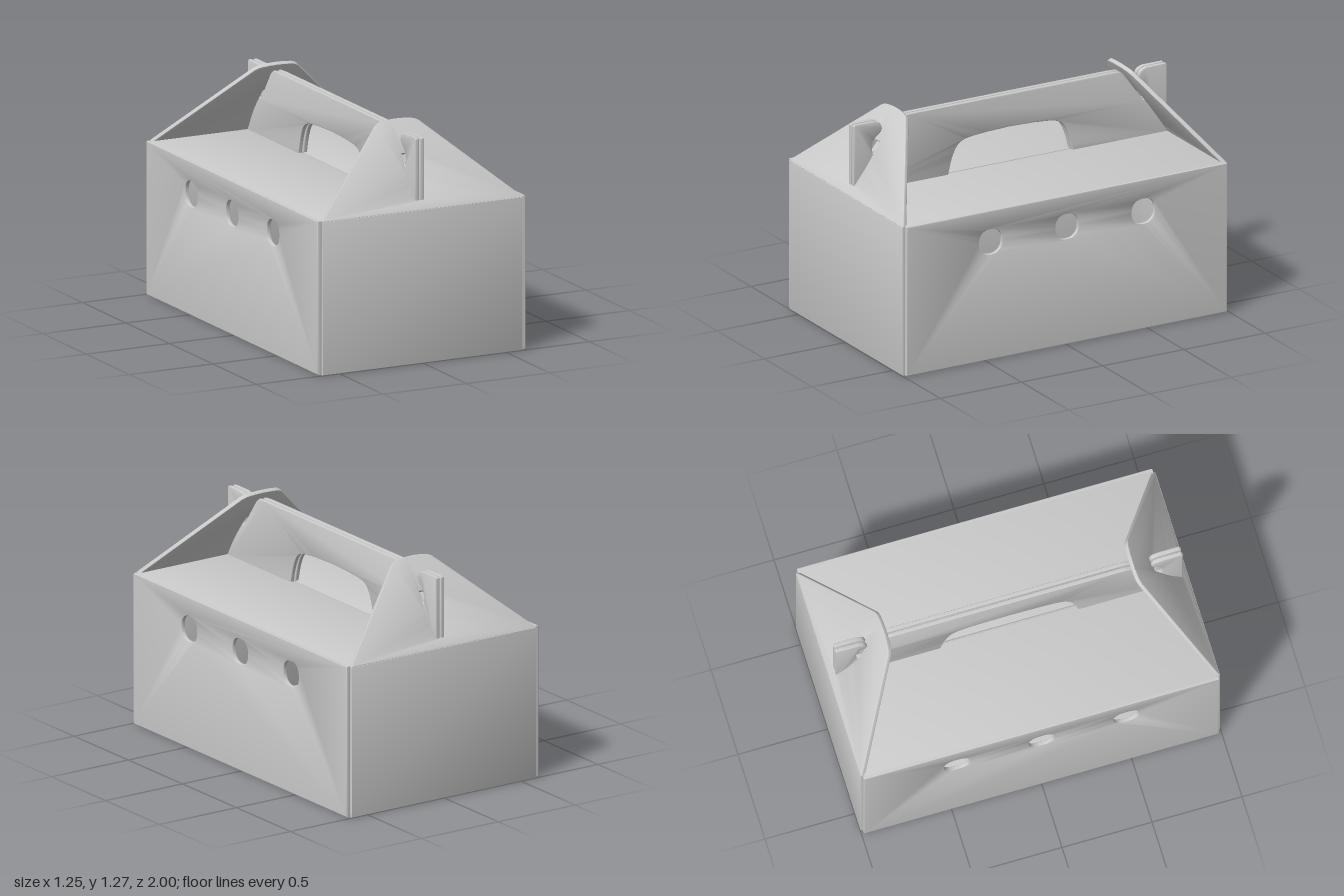
import * as THREE from 'three';
import { toCreasedNormals } from 'three/addons/utils/BufferGeometryUtils.js';

const T = 0.025;      // card thickness
const BEVEL = 0.007;  // softened card edges
const TOP = 0.846;    // height of the box lid

const material = new THREE.MeshStandardMaterial({ color: 0xcccccc, side: THREE.DoubleSide });
const vecs = (list) => list.map(([x, y]) => new THREE.Vector2(x, y));

// Card sheet cut from a shape, its thickness centred on local z = 0
function sheet(shape) {
  const g = new THREE.ExtrudeGeometry(shape, {
    depth: T - 2 * BEVEL, bevelThickness: BEVEL, bevelSize: BEVEL,
    bevelOffset: -BEVEL, bevelSegments: 2, curveSegments: 8,
  });
  g.translate(0, 0, BEVEL - T / 2);
  return toCreasedNormals(g, 0.6);
}

function rect(x0, y0, x1, y1) {
  return new THREE.Shape(vecs([[x0, y0], [x1, y0], [x1, y1], [x0, y1]]));
}

// Slightly squared round air hole
function airHole(cx, cy, r) {
  const pts = [];
  for (let i = 0; i < 32; i++) {
    const a = (i / 32) * Math.PI * 2, c = Math.cos(a), s = Math.sin(a);
    const k = r / Math.pow(Math.abs(c) ** 2.4 + Math.abs(s) ** 2.4, 1 / 2.4);
    pts.push(new THREE.Vector2(cx + c * k, cy + s * k));
  }
  return new THREE.Path(pts);
}

// Smooth points through a few control points
const smooth = (list, n) => new THREE.SplineCurve(vecs(list)).getPoints(n).map((p) => [p.x, p.y]);

// Upright grip with hand opening and a locking hook at each end
function handleShape() {
  const half = [
    ...smooth([[0.15, 1.042], [0.27, 1.03], [0.325, 1.0], [0.36, 0.93], [0.385, TOP - 0.015]], 16),
    [0.965, TOP - 0.015], [0.965, 1.222], [0.957, 1.23],
    ...smooth([[0.84, 1.23], [0.805, 1.217], [0.79, 1.187], [0.802, 1.16], [0.832, 1.135], [0.85, 1.1], [0.848, 1.05]], 22),
    [0.816, 1.05], [0.698, 1.215], [0.675, 1.232], [0.62, 1.235],
  ];
  const mirrored = half.slice().reverse().map(([z, y]) => [-z, y]);
  return new THREE.Shape(vecs([[0, 1.047], ...half, ...mirrored]));
}

// Sloping end flap with the slot for the hook
function flapShape() {
  const s = new THREE.Shape();
  s.moveTo(-0.6, -0.01);
  s.lineTo(0.6, -0.01);
  s.lineTo(0.595, 0.005);
  s.lineTo(0.135, 0.494);
  s.quadraticCurveTo(0.115, 0.513, 0.085, 0.517);
  s.quadraticCurveTo(0, 0.53, -0.085, 0.517);
  s.quadraticCurveTo(-0.115, 0.513, -0.135, 0.494);
  s.lineTo(-0.595, 0.005);
  s.closePath();
  const slot = smooth([[0.026, 0.05], [0.033, 0.14], [0.033, 0.22], [0.026, 0.32]], 10);
  s.holes.push(new THREE.Path(vecs([...slot, ...slot.slice().reverse().map(([x, y]) => [-x, y])])));
  return s;
}

export function createModel() {
  const model = new THREE.Group();
  const add = (name, geometry) => {
    const mesh = new THREE.Mesh(geometry, material);
    mesh.name = name;
    model.add(mesh);
  };

  // Floor
  add('bottomPanel', sheet(rect(-0.602, -0.985, 0.602, 0.985)).rotateX(Math.PI / 2).translate(0, T / 2, 0));

  // Long sides, lid halves and the two grips that lie against each other
  for (const [side, dir] of [['left', 1], ['right', -1]]) {
    const wall = rect(-0.987, 0.004, 0.987, TOP);
    for (const z of [-0.47, 0, 0.47]) wall.holes.push(airHole(z, 0.67, 0.07));
    add(side + 'Wall', sheet(wall).rotateY(Math.PI / 2).translate(dir * (0.625 - T / 2), 0, 0));

    add(side + 'LidPanel', sheet(rect(-0.305, -0.98, 0.305, 0.98))
      .rotateX(Math.PI / 2).translate(dir * 0.309, TOP - T / 2, 0));

    add(side + 'Handle', sheet(handleShape()).rotateY(Math.PI / 2).translate(dir * 0.0155, 0, 0));
  }

  // End walls and their flaps leaning in over the lid
  for (const [end, turn] of [['front', 0], ['back', Math.PI]]) {
    add(end + 'Wall', sheet(rect(-0.6, 0, 0.6, TOP - 0.004)).translate(0, 0, 1 - T / 2).rotateY(turn));
    add(end + 'Flap', sheet(flapShape()).rotateX(-0.615).translate(0, 0.842, 0.983).rotateY(turn));
  }
  return model;
}
